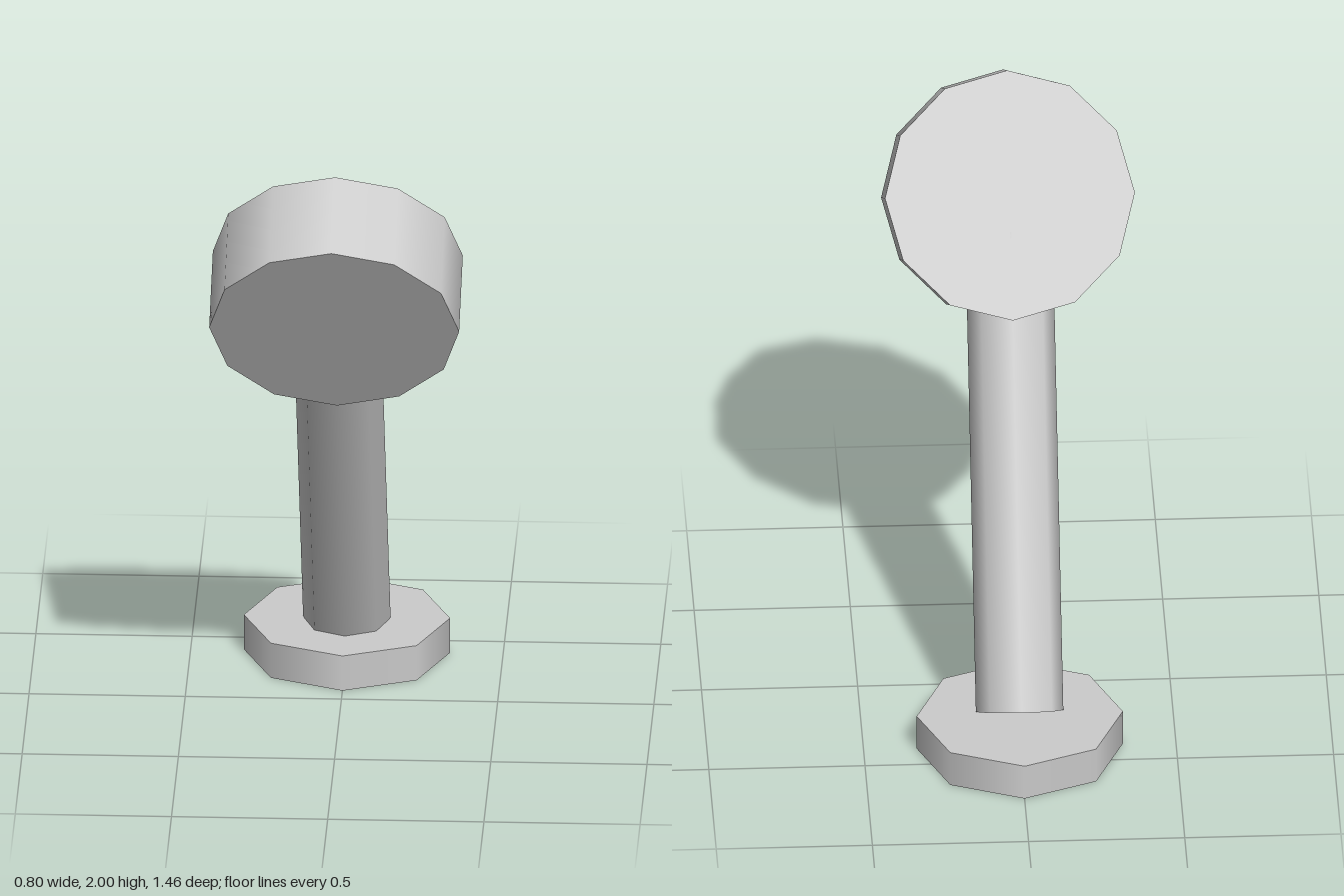
import * as THREE from 'three';

export function createModel() {
  const model = new THREE.Group();
  const grey = new THREE.MeshStandardMaterial({ color: 0xcccccc });
  grey.name = 'grey';

  // Smooth-shaded prism centred at (0, y, z), tilted about x
  function addCylinder(name, radius, length, sides, y, z, tilt) {
    const mesh = new THREE.Mesh(new THREE.CylinderGeometry(radius, radius, length, sides), grey);
    mesh.name = name;
    mesh.position.set(0, y, z);
    mesh.rotation.x = THREE.MathUtils.degToRad(tilt);
    model.add(mesh);
  }

  // Octagonal foot
  addCylinder('base', 0.33, 0.12, 8, 0.06, -0.4, 0);

  // Leaning pole, from inside the foot into the head
  const tilt = 27.8, length = 1.54, a = THREE.MathUtils.degToRad(tilt);
  addCylinder('pole', 0.14, length, 8,
    0.125 + Math.cos(a) * length / 2, -0.391 + Math.sin(a) * length / 2, tilt);

  // Twelve-sided head disc, its face looking forward and down
  addCylinder('head', 0.4, 0.307, 12, 1.577, 0.396, -60);

  return model;
}
